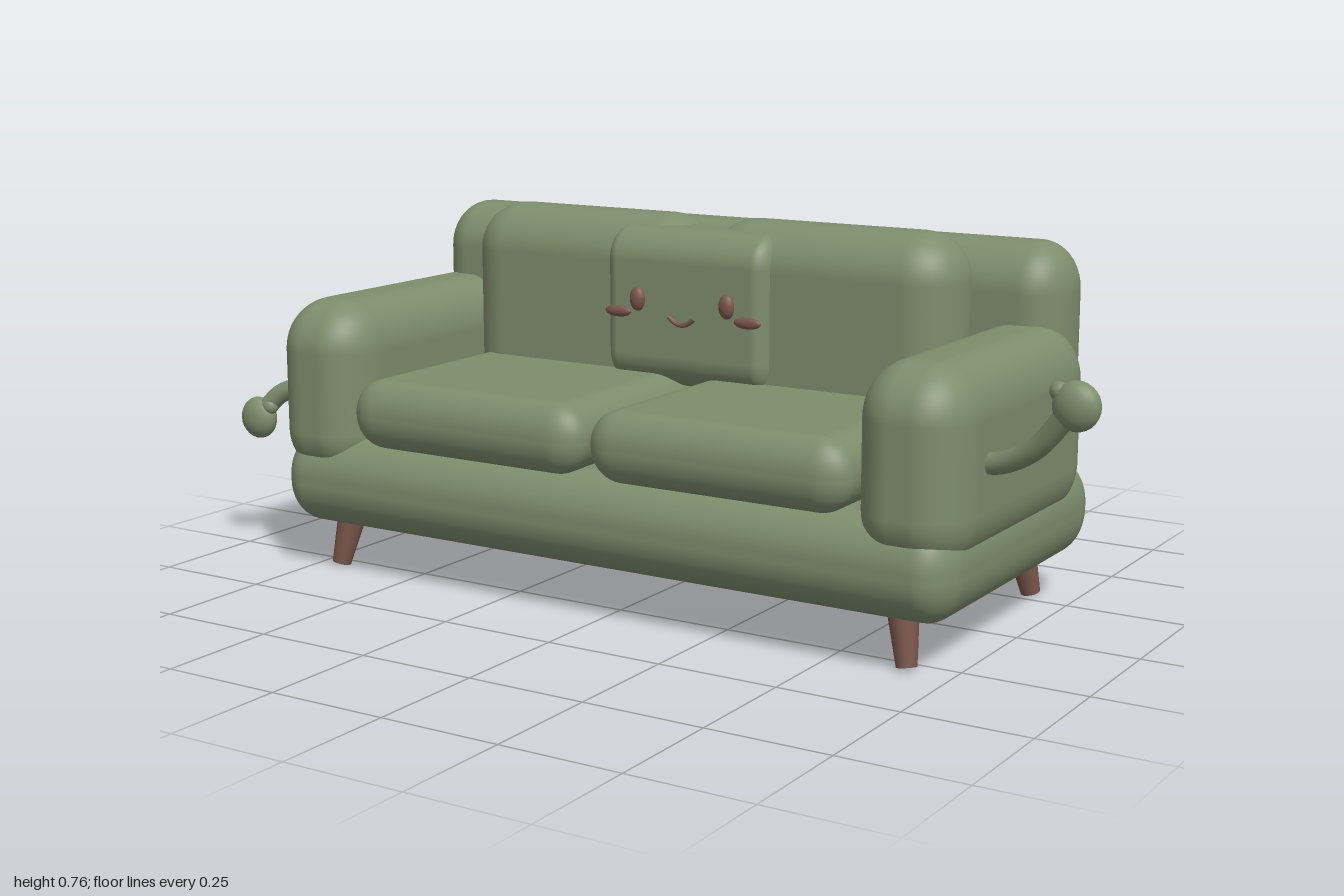
import * as THREE from 'three';
import { RoundedBoxGeometry } from 'three/addons/geometries/RoundedBoxGeometry.js';

const fabric = new THREE.MeshStandardMaterial({ color: 0x7d8d6c });
fabric.name = 'sage fabric';
const wood = new THREE.MeshStandardMaterial({ color: 0x7a564b });
wood.name = 'brown wood';

const CX = -0.021; // middle of the sofa body; the waving arms are uneven

export function createModel() {
  const group = new THREE.Group();
  group.name = 'sofa';

  const add = (name, geometry, material, parent = group) => {
    const mesh = new THREE.Mesh(geometry, material);
    mesh.name = name;
    parent.add(mesh);
    return mesh;
  };

  // Padded block between two corners, with its own rounding on each axis
  const pad = (name, min, max, r) => {
    const size = max.map((v, i) => v - min[i]);
    const geo = new RoundedBoxGeometry(size[0] / r[0], size[1] / r[1], size[2] / r[2], 6, 1);
    geo.scale(...r);
    geo.translate(...min.map((v, i) => (v + max[i]) / 2));
    return add(name, geo, fabric);
  };

  const ball = (name, pos, r, material, parent) => {
    const mesh = add(name, new THREE.SphereGeometry(1, 20, 14), material, parent);
    mesh.position.set(...pos);
    mesh.scale.set(...r);
    return mesh;
  };

  // Body
  pad('base', [-0.806, 0.096, -0.366], [0.764, 0.295, 0.366], [0.07, 0.092, 0.09]);
  pad('backrest', [-0.779, 0.14, -0.375], [0.737, 0.737, -0.17], [0.08, 0.1, 0.1]);
  pad('rightArmrest', [-0.819, 0.195, -0.301], [-0.597, 0.578, 0.366], [0.09, 0.105, 0.115]);
  pad('leftArmrest', [0.555, 0.195, -0.301], [0.777, 0.578, 0.366], [0.09, 0.105, 0.115]);

  // Cushions on each half
  for (const [side, x0, x1] of [['right', -0.603, -0.028], ['left', -0.014, 0.561]]) {
    pad(side + 'SeatCushion', [x0, 0.284, -0.12], [x1, 0.43, 0.373], [0.07, 0.07, 0.055]);
    pad(side + 'BackCushion', [x0, 0.32, -0.25], [x1, 0.756, -0.042], [0.1, 0.1, 0.1]);
  }
  pad('pillow', [-0.223, 0.4, -0.215], [0.181, 0.735, -0.015], [0.04, 0.07, 0.07]);

  // Face on the pillow
  const face = new THREE.Group();
  face.name = 'face';
  face.position.set(CX, 0, -0.015);
  group.add(face);
  for (const s of [-1, 1]) {
    const side = s < 0 ? 'right' : 'left';
    ball(side + 'Eye', [s * 0.108, 0.588, 0], [0.018, 0.026, 0.014], wood, face);
    ball(side + 'Cheek', [s * 0.157, 0.558, 0], [0.032, 0.012, 0.008], wood, face);
  }
  const smile = new THREE.QuadraticBezierCurve3(
    new THREE.Vector3(-0.03, 0.556, 0.002),
    new THREE.Vector3(0, 0.525, 0.002),
    new THREE.Vector3(0.03, 0.556, 0.002));
  add('smile', new THREE.TubeGeometry(smile, 14, 0.005, 8), wood, face);

  // Tapered legs splayed outward
  const up = new THREE.Vector3(0, 1, 0);
  for (const sx of [-1, 1]) for (const sz of [-1, 1]) {
    const bottom = new THREE.Vector3(CX + sx * 0.677, 0.005, sz * 0.287);
    const top = new THREE.Vector3(CX + sx * 0.655, 0.13, sz * 0.265);
    const dir = top.clone().sub(bottom);
    const geo = new THREE.CylinderGeometry(0.033, 0.02, dir.length(), 16);
    const leg = add((sz > 0 ? 'front' : 'back') + (sx < 0 ? 'Right' : 'Left') + 'Leg', geo, wood);
    leg.position.copy(bottom).add(top).multiplyScalar(0.5);
    leg.quaternion.setFromUnitVectors(up, dir.normalize());
  }

  // Thin arms with mitten hands: one raised, one lowered
  const limbs = [
    ['left', [[0.74, 0.388, 0.205], [0.8, 0.395, 0.215], [0.875, 0.435, 0.232], [0.945, 0.515, 0.25]],
      [0.955, 0.522, 0.25], [0.922, 0.545, 0.25]],
    ['right', [[-0.78, 0.375, 0.205], [-0.84, 0.368, 0.217], [-0.905, 0.345, 0.234], [-0.945, 0.3, 0.25]],
      [-0.955, 0.29, 0.25], [-0.922, 0.318, 0.25]],
  ];
  for (const [side, points, hand, thumb] of limbs) {
    const path = new THREE.CatmullRomCurve3(points.map(p => new THREE.Vector3(...p)));
    add(side + 'Arm', new THREE.TubeGeometry(path, 20, 0.021, 12), fabric);
    ball(side + 'Hand', hand, [0.045, 0.046, 0.029], fabric);
    ball(side + 'Thumb', thumb, [0.018, 0.018, 0.016], fabric);
  }

  return group;
}
